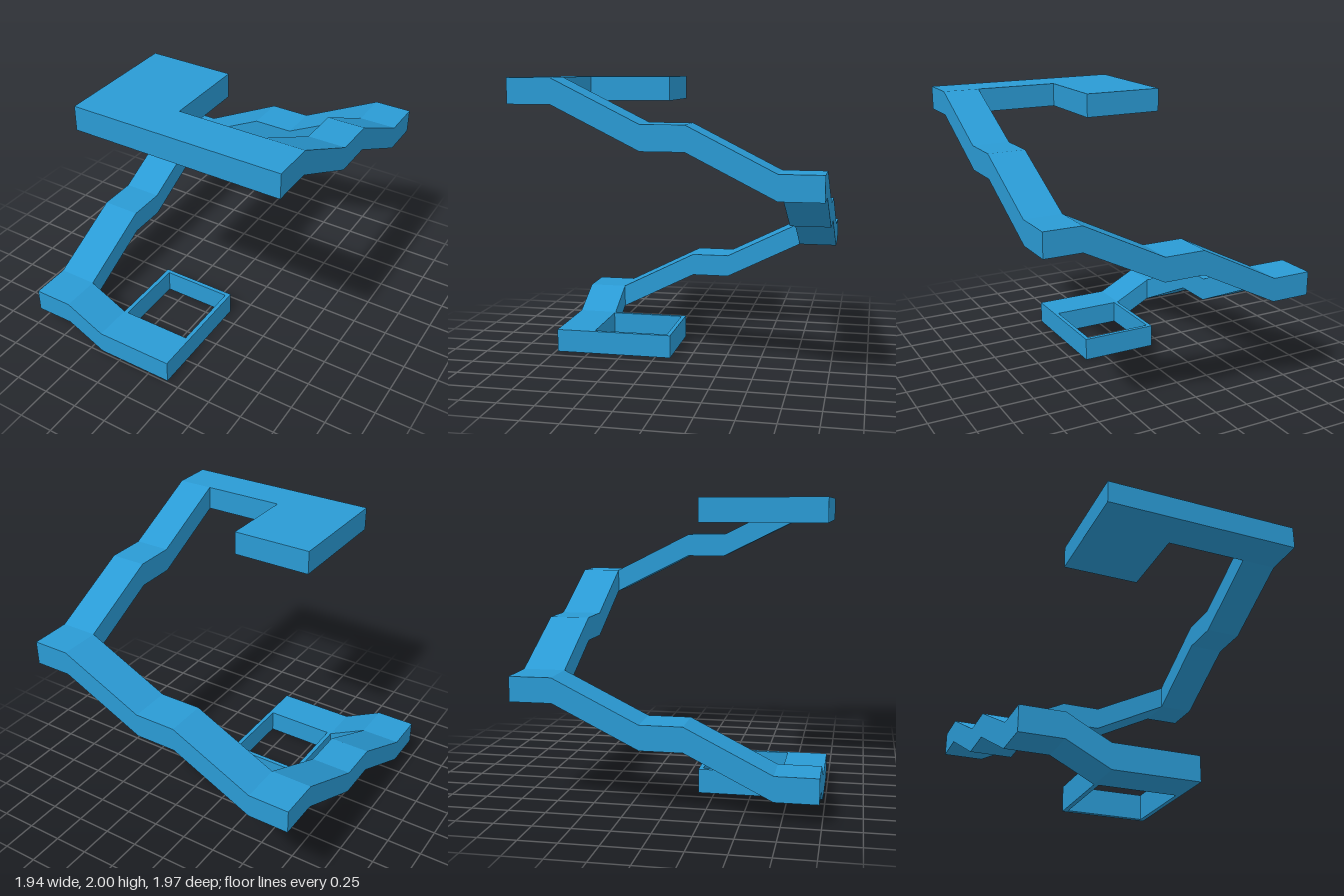
import * as THREE from 'three';

const T = 0.165; // slab thickness
const W = 0.28;  // walkway width

export function createModel() {
  const group = new THREE.Group();
  const material = new THREE.MeshStandardMaterial({ color: 0x2a9ad4, flatShading: true });

  const extrude = (name, points, depth) => {
    const shape = new THREE.Shape(points.map(([a, b]) => new THREE.Vector2(a, b)));
    const mesh = new THREE.Mesh(
      new THREE.ExtrudeGeometry(shape, { depth, bevelEnabled: false }), material);
    mesh.name = name;
    group.add(mesh);
    return mesh;
  };

  // Side profile of a walkway: the top line, then the same line lowered
  const band = (top) => [...top.map(([u, y]) => [u, y - T]), ...[...top].reverse()];

  // Walkway running along x, starting at depth z
  const runX = (name, top, z) => {
    extrude(name, band(top), W).position.z = z;
  };

  // Walkway running along z, with its +x edge at the given x
  const runZ = (name, top, x, width) => {
    const mesh = extrude(name, band(top), width);
    mesh.rotation.y = -Math.PI / 2;
    mesh.position.x = x;
  };

  // Flat plate outlined in x and z, with its top at the given height
  const plate = (name, outline, top) => {
    const mesh = extrude(name, outline, T);
    mesh.rotation.x = Math.PI / 2;
    mesh.position.y = top;
  };

  // Upper platform with the front walkway attached
  plate('upperPlatform', [
    [-0.44, 0.14], [0.13, 0.14], [0.13, 0.705], [0.97, 0.705], [0.97, 0.985], [-0.44, 0.985],
  ], 2);

  // Ramps with level landings, winding down around the square
  runZ('leftRamp', [[-0.705, 1.435], [-0.14, 1.72], [0.14, 1.72], [0.705, 2]], 0.97, 0.255);
  runX('backRamp', [
    [-0.97, 0.873], [-0.69, 0.873], [-0.13, 1.155], [0.155, 1.155], [0.715, 1.435], [0.97, 1.435],
  ], -0.985);
  runZ('rightRamp', [[-0.705, 0.873], [-0.14, 0.593], [0.14, 0.593], [0.705, 0.31]], -0.69, W);
  runX('frontRamp', [[-0.97, 0.31], [-0.69, 0.31], [-0.41, T], [0.155, T]], 0.705);

  // Thin-walled open frame at the bottom
  const t = 0.03;
  plate('lowerFrame', [
    [-0.41, 0.705], [-0.41, 0.14], [0.155, 0.14], [0.155, 0.705],
    [0.155 - t, 0.705], [0.155 - t, 0.14 + t], [-0.41 + t, 0.14 + t], [-0.41 + t, 0.705],
  ], T);

  return group;
}
